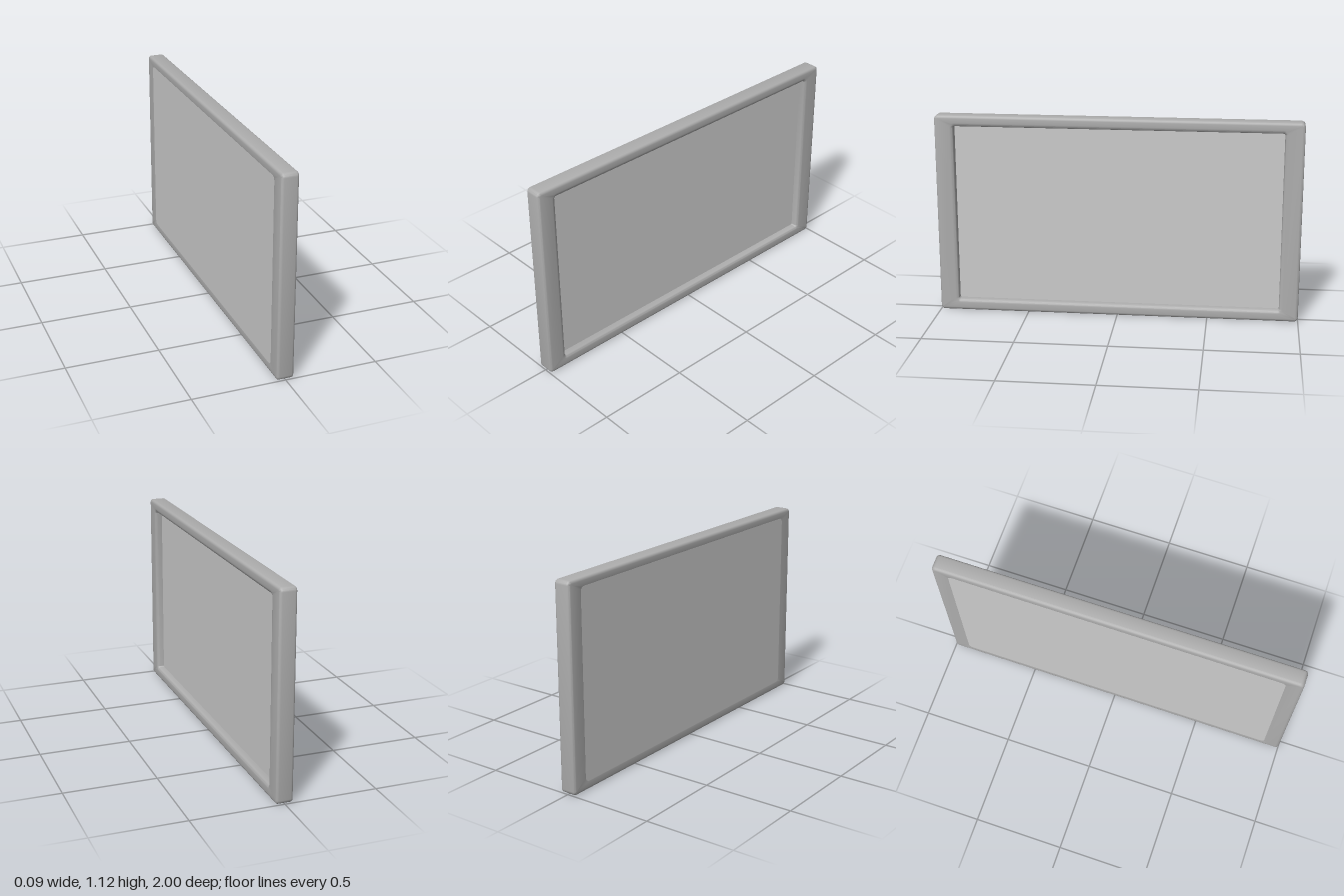
import * as THREE from 'three';
import { toCreasedNormals } from 'three/addons/utils/BufferGeometryUtils.js';

const HALF_LENGTH = 1, HEIGHT = 1.115, HALF_DEPTH = 0.046;
const BEVEL_DEPTH = 0.014, OUTER_BEVEL = 0.016, INNER_BEVEL = 0.02;
const BEVEL_STEPS = 4, CORNER_STEPS = 4;

// Points of a rounded rectangle lying in the (z, y) plane at a given x
function ring(x, halfWidth, bottom, top, r) {
  const points = [];
  const corners = [[1, top], [-1, top], [-1, bottom], [1, bottom]];
  corners.forEach(([side, y], c) => {
    const cz = side * (halfWidth - r);
    const cy = y === top ? top - r : bottom + r;
    for (let k = 0; k <= CORNER_STEPS; k++) {
      const a = (c + k / CORNER_STEPS) * Math.PI / 2;
      points.push([x, cy + r * Math.sin(a), cz + r * Math.cos(a)]);
    }
  });
  return points;
}

// Outer contour shrinks and inner contour grows towards the faces
const outerRing = (x, inset) =>
  ring(x, HALF_LENGTH - inset, inset, HEIGHT - inset, 0.022 - inset);
const innerRing = (x, grow) =>
  ring(x, 0.895 + grow, 0.063 - grow, 1.055 + grow, 0.008 + grow);

// Skins a closed sequence of rings
function skin(rings) {
  const n = rings[0].length;
  const index = [];
  for (let i = 0; i < rings.length; i++) {
    const next = (i + 1) % rings.length;
    for (let j = 0; j < n; j++) {
      const k = (j + 1) % n;
      const a = i * n + j, b = next * n + j, c = next * n + k, d = i * n + k;
      index.push(a, b, c, a, c, d);
    }
  }
  const geometry = new THREE.BufferGeometry();
  geometry.setAttribute('position', new THREE.Float32BufferAttribute(rings.flat(2), 3));
  geometry.setIndex(index);
  return toCreasedNormals(geometry, 0.6);
}

// Frame rings: round the outer edge from back to front, then the inner edge to the back
function frameRings() {
  const bevel = [];
  for (let i = 0; i <= BEVEL_STEPS; i++) {
    const a = (i / BEVEL_STEPS) * Math.PI / 2;
    bevel.push({ x: HALF_DEPTH - BEVEL_DEPTH * (1 - Math.cos(a)), offset: 1 - Math.sin(a) });
  }
  const reversed = [...bevel].reverse();
  return [
    ...bevel.map(p => outerRing(-p.x, p.offset * OUTER_BEVEL)),
    ...reversed.map(p => outerRing(p.x, p.offset * OUTER_BEVEL)),
    ...bevel.map(p => innerRing(p.x, p.offset * INNER_BEVEL)),
    ...reversed.map(p => innerRing(-p.x, p.offset * INNER_BEVEL)),
  ];
}

export function createModel() {
  const model = new THREE.Group();
  model.name = 'framedPanel';

  // Frame: wider at the sides, narrow at top and bottom, softly rounded edges
  const frame = new THREE.Mesh(
    skin(frameRings()),
    new THREE.MeshStandardMaterial({ color: 0xadadad })
  );
  frame.name = 'frame';
  model.add(frame);

  // Panel: set into the frame, shallow recess on one face, almost flush on the other
  const panelBack = -0.0455, panelFront = 0.006;
  const panel = new THREE.Mesh(
    new THREE.BoxGeometry(panelFront - panelBack, 1.03, 1.87),
    new THREE.MeshStandardMaterial({ color: 0xcccccc })
  );
  panel.name = 'panel';
  panel.position.set((panelFront + panelBack) / 2, 0.559, 0);
  model.add(panel);

  return model;
}
